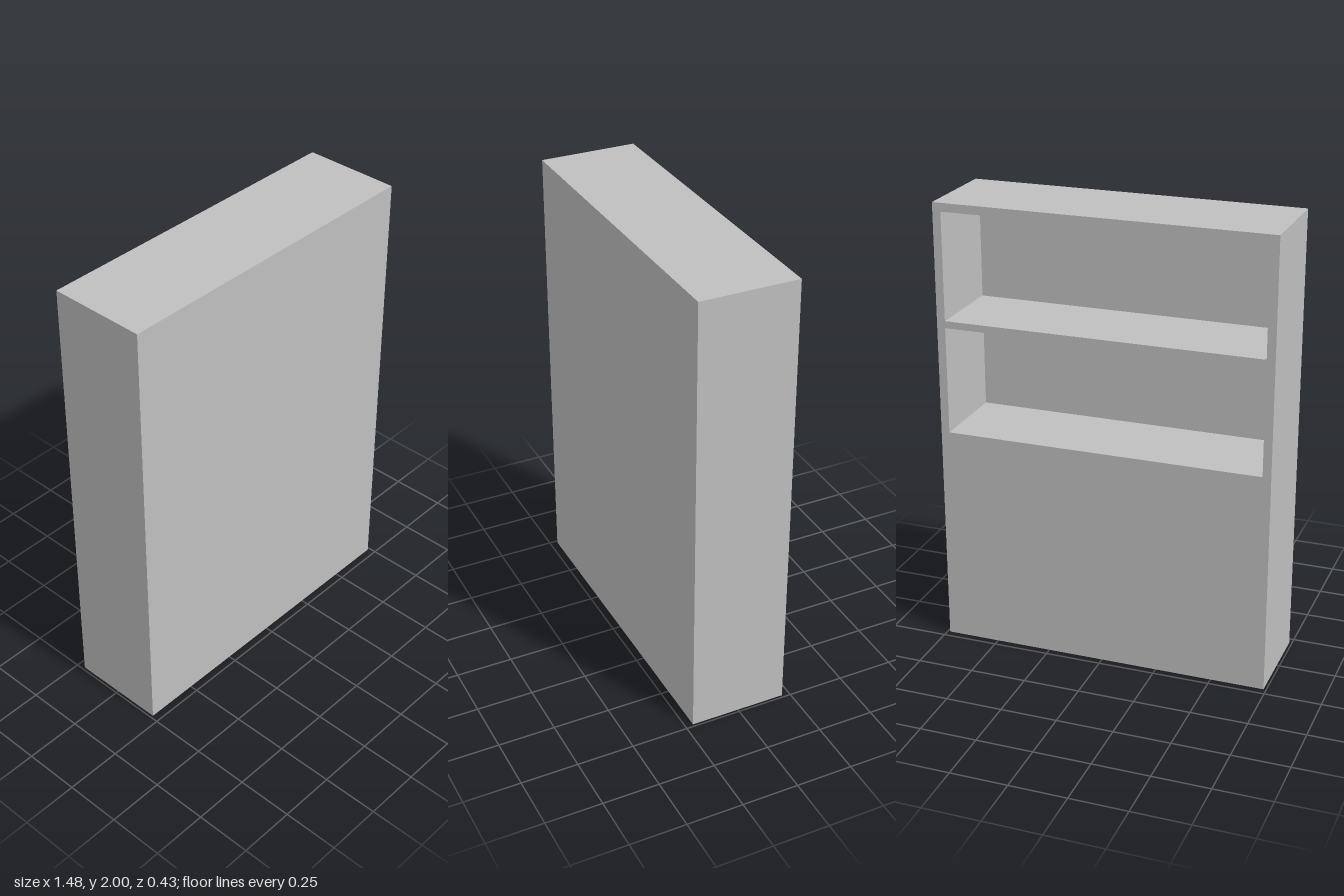
import * as THREE from 'three';

const WIDTH = 1.476, HEIGHT = 2, DEPTH = 0.43;
const SIDE = 0.037;          // thickness of the side walls
const NICHE_DEPTH = 0.383;   // how far the niches reach in from the back
const NICHES = [[1.49, 1.963], [0.984, 1.459]]; // bottom and top of each niche

// Adds a rectangle's outline to a shape or path
function rect(path, x0, y0, x1, y1) {
  path.moveTo(x0, y0);
  path.lineTo(x1, y0);
  path.lineTo(x1, y1);
  path.lineTo(x0, y1);
  path.closePath();
  return path;
}

export function createModel() {
  const model = new THREE.Group();
  model.name = 'cabinet';
  const grey = new THREE.MeshStandardMaterial({ color: 0xbfbfbf });
  grey.name = 'light grey';

  // Carcass: sides, top, shelf and closed base, with two niches open to the back
  const outline = rect(new THREE.Shape(), -WIDTH / 2, 0, WIDTH / 2, HEIGHT);
  const inner = WIDTH / 2 - SIDE;
  for (const [bottom, top] of NICHES) {
    outline.holes.push(rect(new THREE.Path(), -inner, bottom, inner, top));
  }
  const carcassGeometry = new THREE.ExtrudeGeometry(outline, { depth: NICHE_DEPTH, bevelEnabled: false });
  const carcass = new THREE.Mesh(carcassGeometry, grey);
  carcass.name = 'carcass';
  carcass.position.z = -DEPTH / 2;
  model.add(carcass);

  // Plain front panel, which closes the niches
  const thickness = DEPTH - NICHE_DEPTH;
  const panel = new THREE.Mesh(new THREE.BoxGeometry(WIDTH, HEIGHT, thickness), grey);
  panel.name = 'frontPanel';
  panel.position.set(0, HEIGHT / 2, DEPTH / 2 - thickness / 2);
  model.add(panel);

  return model;
}
